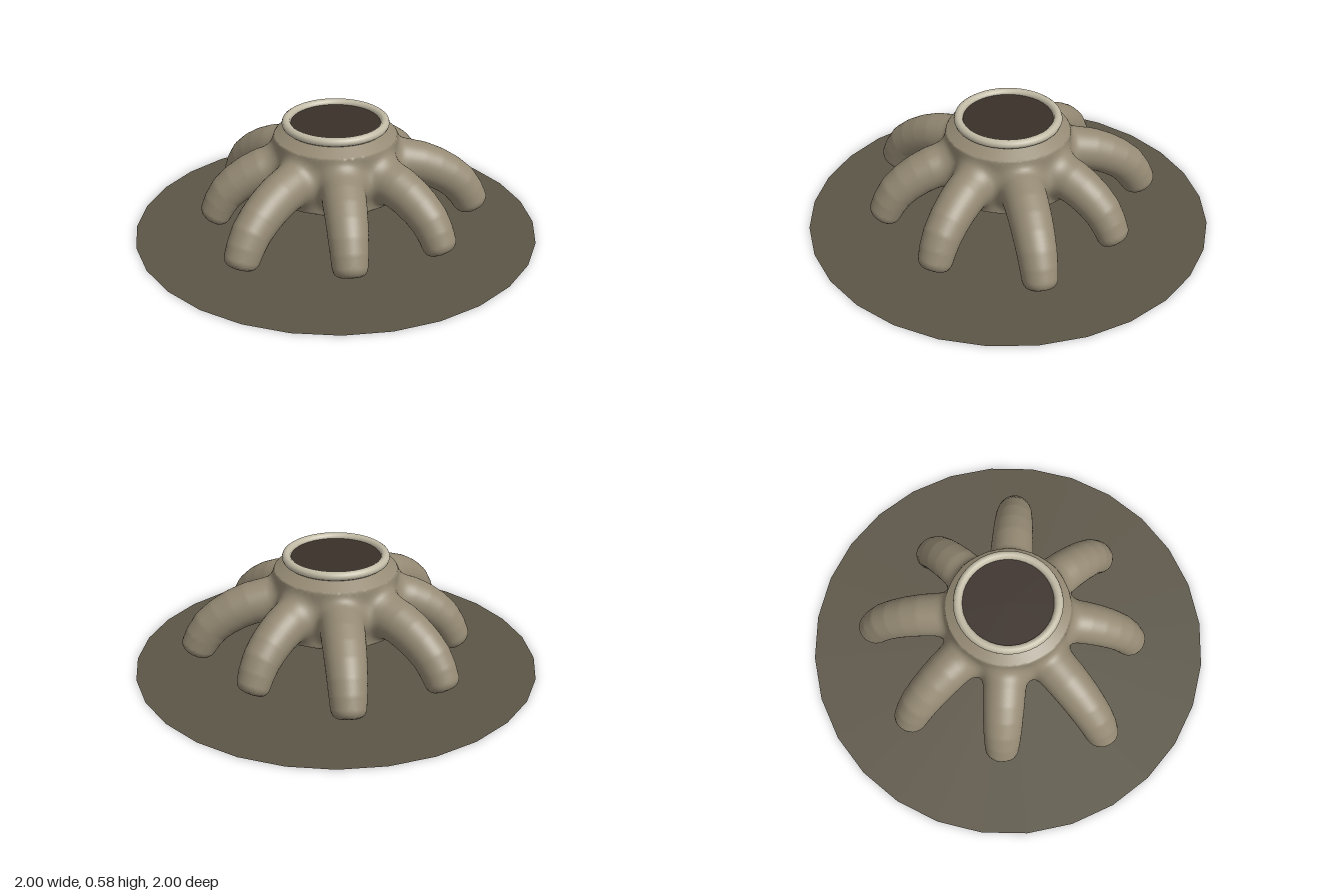
import * as THREE from 'three';

const mat = (name, color, side = THREE.FrontSide) => {
  const m = new THREE.MeshStandardMaterial({ color, side });
  m.name = name;
  return m;
};

// Eight roots, 45 degrees apart, each with its own reach
const REACH = [0.70, 0.69, 0.765, 0.665, 0.725, 0.755, 0.665, 0.76];
const ROOTS = REACH.map((reach, i) => {
  const a = THREE.MathUtils.degToRad(-11 + 45 * i);
  return { c: Math.cos(a), s: Math.sin(a), scale: reach / 0.72 };
});

// Root centre line in its own plane: outward distance, height
const SPINE = new THREE.SplineCurve([
  [0.15, 0.34], [0.32, 0.345], [0.46, 0.30], [0.58, 0.215], [0.645, 0.11], [0.675, 0.04],
].map(([u, y]) => new THREE.Vector2(u, y))).getPoints(10);
const spineRadius = (t) => 0.11 - 0.012 * t - 0.026 * t * t;

const smin = (a, b, k) => {
  const h = Math.max(k - Math.abs(a - b), 0) / k;
  return Math.min(a, b) - h * h * k * 0.25;
};

// Distance to one root: a tapering bent tube with a softly flattened foot
function rootDistance(root, x, y, z) {
  const u = (x * root.c + z * root.s) / root.scale;
  const w = z * root.c - x * root.s;
  let d = 9;
  const n = SPINE.length - 1;
  for (let i = 0; i < n; i++) {
    const p = SPINE[i], q = SPINE[i + 1];
    const ex = q.x - p.x, ey = q.y - p.y;
    const t = Math.min(1, Math.max(0, ((u - p.x) * ex + (y - p.y) * ey) / (ex * ex + ey * ey)));
    const dist = Math.hypot(u - p.x - ex * t, y - p.y - ey * t, w);
    d = Math.min(d, dist - spineRadius((i + t) / n));
  }
  const foot = 0.45 * (u - 0.67) - 0.89 * (y - 0.068);
  return -smin(-d, -foot, 0.045);
}

// Central drum with a sloping shoulder, blended with the roots
function bodyDistance(x, y, z) {
  const r = Math.hypot(x, z);
  let d = Math.max(r - 0.305, 0.49 * (r - 0.31) + 0.87 * (y - 0.5), 0.2 - y, y - 0.55);
  for (const root of ROOTS) d = smin(d, rootDistance(root, x, y, z), 0.06);
  return d;
}

// Turns a distance function into a smooth mesh on a regular grid
function skinGeometry(f, min, max, step) {
  const n = min.map((v, i) => Math.ceil((max[i] - v) / step) + 1);
  const stride = [1, n[0], n[0] * n[1]];
  const values = new Float32Array(n[0] * n[1] * n[2]);
  const eachCell = (fn) => {
    for (let k = 0; k < n[2]; k++)
      for (let j = 0; j < n[1]; j++)
        for (let i = 0; i < n[0]; i++) fn([i, j, k], i + j * stride[1] + k * stride[2]);
  };
  eachCell((g, id) => {
    values[id] = f(min[0] + g[0] * step, min[1] + g[1] * step, min[2] + g[2] * step);
  });

  const vertexOf = new Int32Array(values.length).fill(-1);
  const positions = [], normals = [], index = [];
  // One vertex per crossed cell, at the mean of its edge crossings
  eachCell((g, id) => {
    if (g.some((v, a) => v >= n[a] - 1)) return;
    const sum = [0, 0, 0];
    let count = 0;
    for (let a = 0; a < 3; a++) {
      const b = (a + 1) % 3, c = (a + 2) % 3;
      for (let e = 0; e < 4; e++) {
        const ob = e & 1, oc = e >> 1;
        const start = id + ob * stride[b] + oc * stride[c];
        const v0 = values[start], v1 = values[start + stride[a]];
        if ((v0 < 0) === (v1 < 0)) continue;
        sum[a] += v0 / (v0 - v1);
        sum[b] += ob;
        sum[c] += oc;
        count++;
      }
    }
    if (!count) return;
    const p = sum.map((v, a) => min[a] + (g[a] + v / count) * step);
    const h = 0.006;
    const normal = new THREE.Vector3(
      f(p[0] + h, p[1], p[2]) - f(p[0] - h, p[1], p[2]),
      f(p[0], p[1] + h, p[2]) - f(p[0], p[1] - h, p[2]),
      f(p[0], p[1], p[2] + h) - f(p[0], p[1], p[2] - h)).normalize();
    vertexOf[id] = positions.length / 3;
    positions.push(...p);
    normals.push(normal.x, normal.y, normal.z);
  });
  // One quad around every crossed grid edge
  eachCell((g, id) => {
    for (let a = 0; a < 3; a++) {
      const b = (a + 1) % 3, c = (a + 2) % 3;
      if (g[a] >= n[a] - 1 || g[b] < 1 || g[c] < 1) continue;
      const inside = values[id] < 0;
      if (inside === (values[id + stride[a]] < 0)) continue;
      const q = [id, id - stride[b], id - stride[b] - stride[c], id - stride[c]].map((v) => vertexOf[v]);
      if (q.some((v) => v < 0)) continue;
      if (!inside) q.reverse();
      index.push(q[0], q[1], q[2], q[0], q[2], q[3]);
    }
  });
  const geo = new THREE.BufferGeometry();
  geo.setAttribute('position', new THREE.Float32BufferAttribute(positions, 3));
  geo.setAttribute('normal', new THREE.Float32BufferAttribute(normals, 3));
  geo.setIndex(index);
  return geo;
}

export function createModel() {
  const model = new THREE.Group();
  model.name = 'rootedStump';
  const add = (name, geo, material, y = 0) => {
    const mesh = new THREE.Mesh(geo, material);
    mesh.name = name;
    mesh.position.y = y;
    model.add(mesh);
  };

  // Flat ground plate
  add('groundPlate', new THREE.CircleGeometry(1, 28).rotateX(-Math.PI / 2),
    mat('darkOlive', 0x5c5647, THREE.DoubleSide));

  // Drum and its eight spreading roots
  add('bodyWithRoots', skinGeometry(bodyDistance, [-0.8, 0, -0.8], [0.8, 0.6, 0.8], 0.0163),
    mat('taupe', 0x958a74));

  // Pale rim and dark opening
  add('rim', new THREE.TorusGeometry(0.24, 0.022, 10, 40).rotateX(Math.PI / 2),
    mat('paleStone', 0xc2bba6), 0.563);
  add('opening', new THREE.CylinderGeometry(0.23, 0.23, 0.009, 40),
    mat('darkBrown', 0x3b302a), 0.558);
  return model;
}
